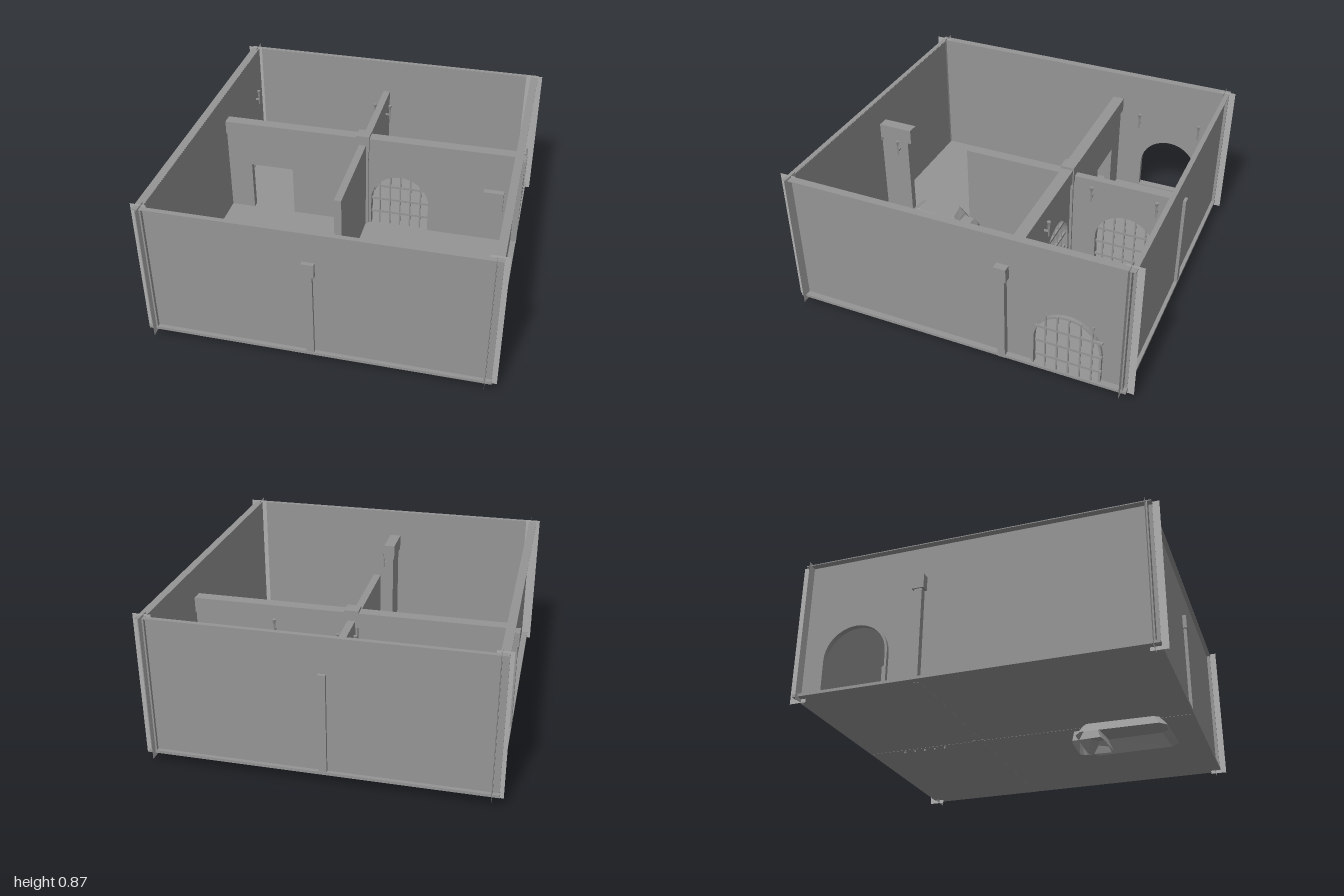
import * as THREE from 'three';

export function createModel() {
  const root = new THREE.Group();
  const stone = new THREE.MeshStandardMaterial({ color: 0x959595, flatShading: true, side: THREE.DoubleSide });
  const postMat = new THREE.MeshStandardMaterial({ color: 0xb0b0b0, side: THREE.DoubleSide });
  const FLOOR = 0.08;

  function add(name, geometry, parent = root, material = stone) {
    const mesh = new THREE.Mesh(geometry, material);
    mesh.name = name;
    parent.add(mesh);
    return mesh;
  }
  // box given by its limits on each axis
  function box(name, [x0, x1], [y0, y1], [z0, z1], parent = root) {
    const mesh = add(name, new THREE.BoxGeometry(x1 - x0, y1 - y0, z1 - z0), parent);
    mesh.position.set((x0 + x1) / 2, (y0 + y1) / 2, (z0 + z1) / 2);
    return mesh;
  }
  // arched outline standing on the floor
  function archPath(target, c, r, top) {
    target.moveTo(c - r, FLOOR);
    target.lineTo(c - r, top - r);
    target.absarc(c, top - r, r, Math.PI, 0, true);
    target.lineTo(c + r, FLOOR);
    target.closePath();
    return target;
  }
  function rectPath(x0, x1, y0, y1) {
    return new THREE.Path().moveTo(x0, y0).lineTo(x0, y1).lineTo(x1, y1).lineTo(x1, y0).closePath();
  }
  // upright slab; alongZ turns its width into z
  function slab(name, shape, at, depth, alongZ) {
    const mesh = add(name, new THREE.ExtrudeGeometry(shape, { depth, bevelEnabled: false, curveSegments: 10 }));
    if (alongZ) {
      mesh.rotation.y = -Math.PI / 2;
      mesh.position.x = at + depth;
    } else mesh.position.z = at;
  }
  function wall(name, u0, u1, y0, y1, holes, at, depth, alongZ) {
    const s = new THREE.Shape();
    s.moveTo(u0, y0).lineTo(u1, y0).lineTo(u1, y1).lineTo(u0, y1).closePath();
    s.holes.push(...holes);
    slab(name, s, at, depth, alongZ);
  }
  const ARCH_Z = -0.633, ARCH_X = 0.2;
  const archHole = (c) => archPath(new THREE.Path(), c, 0.178, 0.44);

  // floor, base ledges and top flanges around the thin outer walls
  box('floor', [-0.938, 0.926], [0.07, FLOOR], [-0.965, 0.965]);
  for (const [name, y0, y1] of [['baseLedge', 0.07, 0.086], ['topFlange', 0.857, 0.862]]) {
    box(name, [-0.94, -0.894], [y0, y1], [-0.966, 0.966]);
    box(name, [0.884, 0.928], [y0, y1], [-0.966, 0.966]);
    box(name, [-0.94, 0.928], [y0, y1], [-0.966, -0.94]);
    box(name, [-0.94, 0.928], [y0, y1], [0.938, 0.966]);
  }

  // outer walls
  wall('frontWall', -0.938, 0.926, 0.07, 0.86, [], 0.936, 0.008, false);
  wall('backWall', -0.938, 0.926, 0.07, 0.86, [], -0.946, 0.008, false);
  wall('leftWall', -0.963, 0.963, 0.07, 0.86, [archHole(ARCH_Z)], 0.884, 0.011, true);
  wall('rightWall', -0.963, 0.963, 0.07, 0.86, [archHole(ARCH_Z)], -0.904, 0.011, true);

  // corner posts: two crossing plates
  for (const sx of [-1, 1]) for (const sz of [-1, 1]) {
    const post = new THREE.Group();
    post.name = 'cornerPost';
    const across = add('cornerPlate', new THREE.PlaneGeometry(sx < 0 ? 0.085 : 0.098, 0.823), post, postMat);
    across.position.set(sx < 0 ? -0.917 : 0.905, 0.4615, sz * 0.935);
    const along = add('cornerPlate', new THREE.PlaneGeometry(0.092, 0.823), post, postMat);
    along.rotation.y = Math.PI / 2;
    along.position.set(sx < 0 ? -0.902 : 0.893, 0.4615, sz * 0.954);
    root.add(post);
  }

  // cross wall with doorway and arch, and the beam on it
  wall('crossWall', -0.9, 0.89, 0.069, 0.62,
    [rectPath(-0.745, -0.48, FLOOR, 0.4), archHole(ARCH_X)], -0.298, 0.04, false);
  box('crossBeam', [-0.9, 0.89], [0.61, 0.695], [-0.312, -0.245]);
  box('crossingPost', [-0.065, 0.004], [0.068, 0.62], [-0.313, -0.244]);
  box('crossingCap', [-0.07, 0.01], [0.61, 0.71], [-0.318, -0.239]);
  box('wallPanel', [0.71, 0.83], [0.3, 0.44], [-0.26, -0.222]);

  // pillars standing on the ledges outside the side walls
  for (const [x0, x1, inset] of [[-0.947, -0.9, 0.007], [0.89, 0.937, -0.007]]) {
    const shaft = inset > 0 ? [x0 + inset, x1] : [x0, x1 + inset];
    box('outerPillar', shaft, [0.07, 0.6], [-0.3, -0.257]);
    box('outerPillarCap', [x0, x1], [0.59, 0.67], [-0.312, -0.245]);
  }

  // long wall, broken off towards the front
  wall('longWallBack', -0.964, -0.27, 0.069, 0.65, [archHole(ARCH_Z)], -0.052, 0.042, true);
  wall('longWallFront', -0.27, 0.36, 0.069, 0.65, [], -0.052, 0.042, true);
  box('wallStub', [-0.052, -0.01], [0.069, 0.62], [0.76, 0.962]);
  box('stubBeam', [-0.064, 0.002], [0.61, 0.7], [0.73, 0.94]);
  box('stubEndCap', [-0.064, 0.002], [0.59, 0.67], [0.93, 0.966]);

  // arch trims on the outside of the side walls
  for (const at of [0.893, -0.925]) {
    const trim = archPath(new THREE.Shape(), ARCH_Z, 0.19, 0.452);
    trim.holes.push(archHole(ARCH_Z));
    slab('archTrim', trim, at, 0.022, true);
  }

  // grates, built across x and turned where needed
  function grate(name, x, z, shift, drop, turned) {
    const g = new THREE.Group();
    g.name = name;
    for (let i = -2; i <= 2; i++) {
      const bar = add('uprightBar', new THREE.CylinderGeometry(0.005, 0.005, 0.375, 6), g);
      bar.position.set(i * 0.063 + shift, 0.258 - drop / 3, 0);
    }
    for (const y of [0.165, 0.26, 0.355]) {
      box('crossBar', [-0.18 + shift, 0.18 + shift], [y - drop - 0.007, y - drop + 0.007], [-0.006, 0.006], g);
    }
    g.position.set(x, 0, z);
    if (turned) g.rotation.y = Math.PI / 2;
    root.add(g);
  }
  grate('leftGrate', 0.917, ARCH_Z, 0.014, 0, true);
  grate('longWallGrate', -0.031, ARCH_Z, -0.008, 0.037, true);
  grate('crossWallGrate', ARCH_X, -0.278, 0, 0, false);

  // wall torches: position and turn away from the wall
  const torches = [[0.41, -0.33, Math.PI], [0.018, 0.815, Math.PI / 2]];
  for (const z of [-0.43, -0.81]) {
    torches.push([-0.87, z, Math.PI / 2], [-0.08, z, -Math.PI / 2], [0.018, z, Math.PI / 2]);
  }
  for (const [x, z, turn] of torches) {
    const t = new THREE.Group();
    t.name = 'wallTorch';
    const stick = add('torchStick', new THREE.CylinderGeometry(0.007, 0.004, 0.08, 4), t);
    stick.position.y = 0.56;
    const cup = add('torchCup', new THREE.CylinderGeometry(0.013, 0.007, 0.025, 4), t);
    cup.position.y = 0.605;
    box('torchBracket', [-0.004, 0.004], [0.548, 0.558], [-0.027, 0], t);
    t.position.set(x, 0, z);
    t.rotation.y = turn;
    root.add(t);
  }

  // rubble: rings of [y, x0, x1, z0, z1] with cut corners, sides and a flat top
  function rubble(name, rings, skew) {
    const pos = [], idx = [], n = 8;
    for (const [y, x0, x1, z0, z1] of rings) {
      const cx = (x1 - x0) * 0.12, cz = (z1 - z0) * 0.09;
      pos.push(x0, y, z0 + cz, x0 + skew, y, z1 - cz, x0 + cx, y, z1 - 0.01, x1 - cx, y, z1,
        x1, y, z1 - cz, x1 + skew, y, z0 + cz, x1 - cx, y, z0, x0 + cx, y, z0 + 0.01);
    }
    for (let r = 0; r < rings.length - 1; r++) for (let i = 0; i < n; i++) {
      const a = r * n + i, b = r * n + (i + 1) % n;
      idx.push(a, b, b + n, a, b + n, a + n);
    }
    const top = (rings.length - 1) * n;
    for (let i = 1; i < n - 1; i++) idx.push(top, top + i, top + i + 1);
    const g = new THREE.BufferGeometry();
    g.setAttribute('position', new THREE.Float32BufferAttribute(pos, 3));
    g.setIndex(idx);
    g.computeVertexNormals();
    add(name, g);
  }
  rubble('rubbleHeap', [
    [0.0, -0.165, 0.215, 0.31, 0.84],
    [FLOOR, -0.09, 0.155, 0.34, 0.785],
    [0.17, -0.06, 0.1, 0.4, 0.72],
    [0.2, -0.05, 0.08, 0.43, 0.67]], 0.008);
  rubble('rubbleBlock', [
    [0.004, -0.04, 0.205, 0.26, 0.46],
    [FLOOR, -0.01, 0.18, 0.27, 0.43],
    [0.15, 0.0, 0.17, 0.28, 0.42],
    [0.19, 0.02, 0.13, 0.31, 0.39]], -0.008);

  return root;
}
